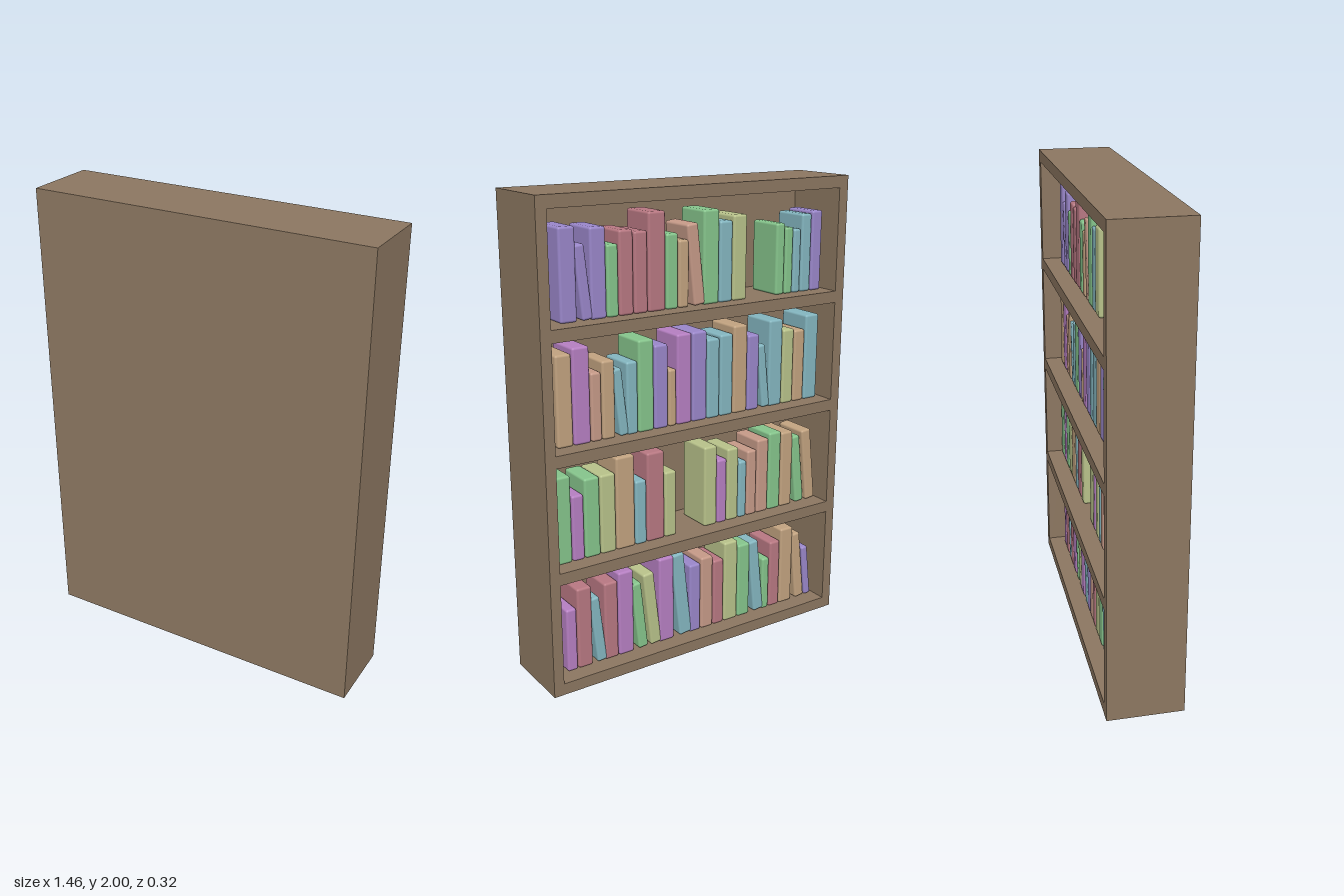
import * as THREE from 'three';
import { RoundedBoxGeometry } from 'three/addons/geometries/RoundedBoxGeometry.js';

const W = 1.46, H = 2, D = 0.32;           // overall case size
const SIDE = 0.045, BOARD = 0.05, PANEL = 0.03;
const PITCH = (H - BOARD) / 4;             // distance between shelves
const SPINE_Z = -0.09, BOOK_DEPTH = 0.165;

// Runs of books, measured from the +x end of the case.
// Each letter is a cover colour; a capital marks a leaning book.
const runs = [
  { shelf: 3, start: 0.12, end: 0.99, books: 'lLlgpppgtSgbo',
    heights: [.36, .29, .35, .28, .33, .32, .39, .3, .27, .33, .38, .33, .35] },
  { shelf: 3, start: 1.14, end: 1.39, books: 'ggbbl',
    heights: [.3, .28, .27, .33, .34] },
  { shelf: 2, start: 0.09, end: 1.39, books: 'tmstBbgltmlbbtlBbotb',
    heights: [.37, .39, .28, .32, .28, .3, .38, .35, .24, .38, .38, .34, .35, .38, .33, .28, .38, .33, .32, .38] },
  { shelf: 1, start: 0.06, end: 0.64, books: 'gmgotbpo',
    heights: [.37, .28, .34, .34, .4, .28, .39, .29] },
  { shelf: 1, start: 0.78, end: 1.39, books: 'omobssgtGT',
    heights: [.36, .29, .33, .26, .3, .34, .36, .35, .32, .34] },
  { shelf: 0, start: 0.1, end: 1.39, books: 'mpBpmGOmBlspogBgptTL',
    heights: [.28, .36, .3, .35, .38, .31, .34, .39, .39, .32, .34, .31, .38, .35, .35, .25, .32, .37, .33, .25] },
];

function makeMaterial(name, color) {
  const material = new THREE.MeshStandardMaterial({ color });
  material.name = name;
  return material;
}

export function createModel() {
  const model = new THREE.Group();
  model.name = 'bookcase';

  const wood = makeMaterial('brown wood', 0x8c7761);
  const covers = {
    l: makeMaterial('lavender cover', 0x9a87ca),
    m: makeMaterial('orchid cover', 0xb67fc2),
    p: makeMaterial('rose cover', 0xb87882),
    s: makeMaterial('salmon cover', 0xc69a88),
    t: makeMaterial('tan cover', 0xc2a380),
    o: makeMaterial('olive cover', 0xb8c28a),
    g: makeMaterial('green cover', 0x86c58c),
    b: makeMaterial('blue cover', 0x84b6c0),
  };

  const addBoard = (name, w, h, d, x, y, z) => {
    const mesh = new THREE.Mesh(new THREE.BoxGeometry(w, h, d), wood);
    mesh.name = name;
    mesh.position.set(x, y, z);
    model.add(mesh);
  };

  // Case: closed panel on +z, open on -z
  const depth = D - PANEL, midZ = -PANEL / 2;
  addBoard('panel', W, H, PANEL, 0, H / 2, (D - PANEL) / 2);
  for (const s of [1, -1]) {
    addBoard(s > 0 ? 'leftSide' : 'rightSide', SIDE, H, depth, s * (W - SIDE) / 2, H / 2, midZ);
  }
  for (let i = 0; i <= 4; i++) {
    const name = i === 0 ? 'bottomBoard' : i === 4 ? 'topBoard' : 'shelf' + i;
    addBoard(name, W - 2 * SIDE, BOARD, depth, 0, BOARD / 2 + i * PITCH, midZ);
  }

  // Books: rounded blocks, taller ones thicker, sharing out the length of the run
  runs.forEach(({ shelf, start, end, books, heights }, r) => {
    const group = new THREE.Group();
    group.name = 'bookRun' + (r + 1);
    const floor = BOARD + shelf * PITCH;
    const thickness = (h) => h - 0.08;
    const total = heights.reduce((sum, h) => sum + thickness(h), 0);
    let at = start;
    heights.forEach((h, i) => {
      const slot = thickness(h) / total * (end - start);
      const key = books[i].toLowerCase();
      const tilt = key === books[i] ? 0 : 0.11;
      const w = tilt ? slot * 0.8 : slot - 0.004;
      const book = new THREE.Mesh(new RoundedBoxGeometry(w, h, BOOK_DEPTH, 2, 0.01), covers[key]);
      book.name = 'book' + (i + 1);
      book.rotation.z = -tilt; // tips towards +x
      const rise = (h * Math.cos(tilt) + w * Math.sin(tilt)) / 2;
      book.position.set(W / 2 - at - slot / 2, floor + rise, SPINE_Z + BOOK_DEPTH / 2);
      group.add(book);
      at += slot;
    });
    model.add(group);
  });

  return model;
}
